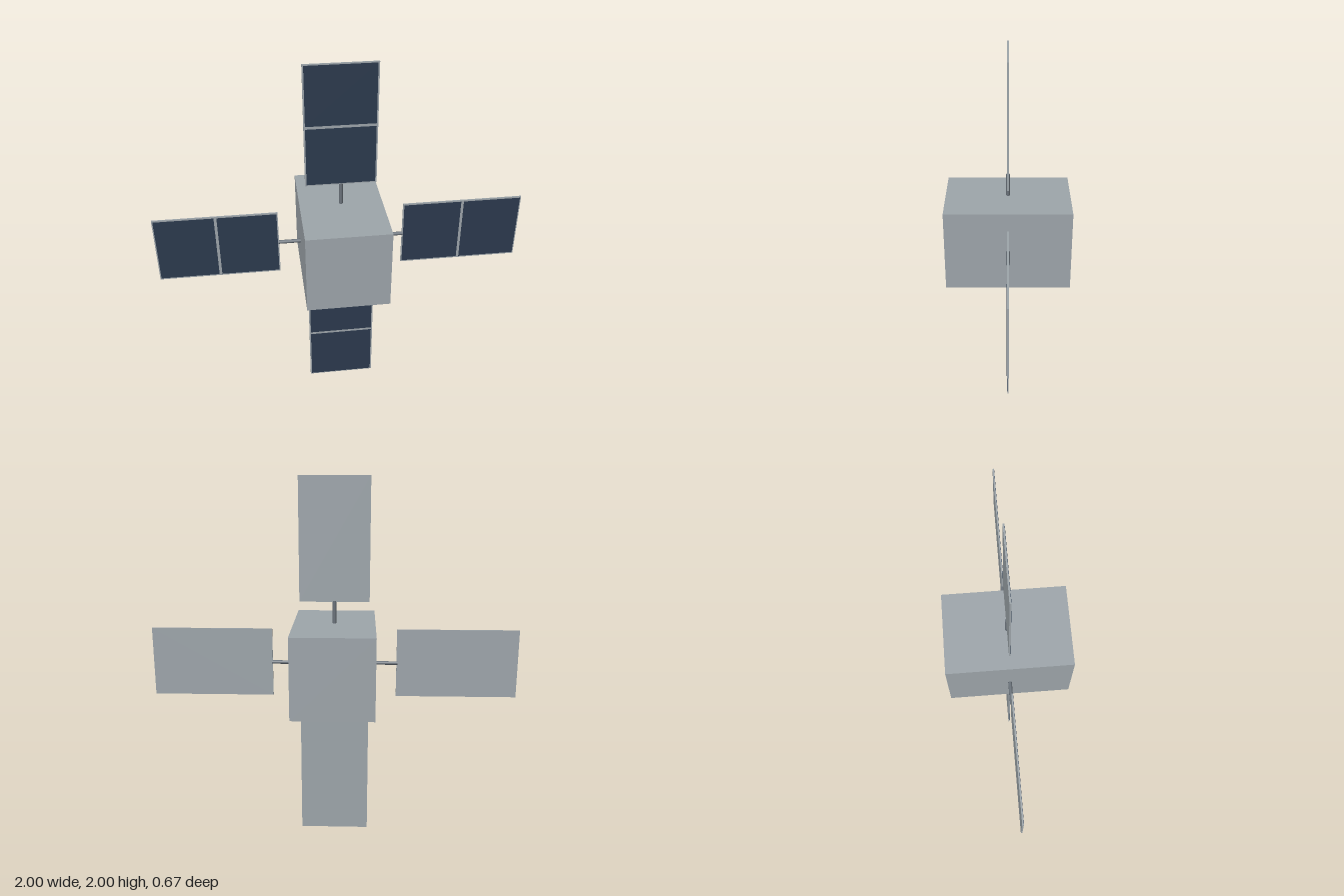
import * as THREE from 'three';

export function createModel() {
  const model = new THREE.Group();
  model.name = 'satellite';

  const mat = (name, color) => {
    const m = new THREE.MeshStandardMaterial({ color });
    m.name = name;
    return m;
  };
  const hull = mat('hull grey', 0x9ea6ab);
  const cell = mat('cell navy', 0x2c3a4e);
  const metal = mat('strut grey', 0x6b737b);

  const add = (parent, name, geometry, material, x, y, z) => {
    const mesh = new THREE.Mesh(geometry, material);
    mesh.name = name;
    mesh.position.set(x, y, z);
    parent.add(mesh);
    return mesh;
  };

  // Box-shaped body, longest front to back
  add(model, 'body', new THREE.BoxGeometry(0.444, 0.444, 0.667), hull, 0, 1, 0);

  const strutGeo = new THREE.CylinderGeometry(0.01, 0.01, 0.13, 12);
  const panelGeo = new THREE.BoxGeometry(0.378, 0.66, 0.008);
  const cellGeo = new THREE.BoxGeometry(0.362, 0.316, 0.002);

  // Four wings around the body, each built pointing up and then turned
  ['top', 'left', 'bottom', 'right'].forEach((side, i) => {
    const wing = new THREE.Group();
    wing.name = side + 'Wing';
    wing.position.y = 1;
    wing.rotation.z = -i * Math.PI / 2;
    add(wing, 'strut', strutGeo, metal, 0, 0.28, 0);
    add(wing, 'panel', panelGeo, hull, 0, 0.67, 0);
    // Two solar cells on the front face only
    for (const s of [-1, 1]) add(wing, 'solarCell', cellGeo, cell, 0, 0.67 + s * 0.1655, 0.0045);
    model.add(wing);
  });

  return model;
}
